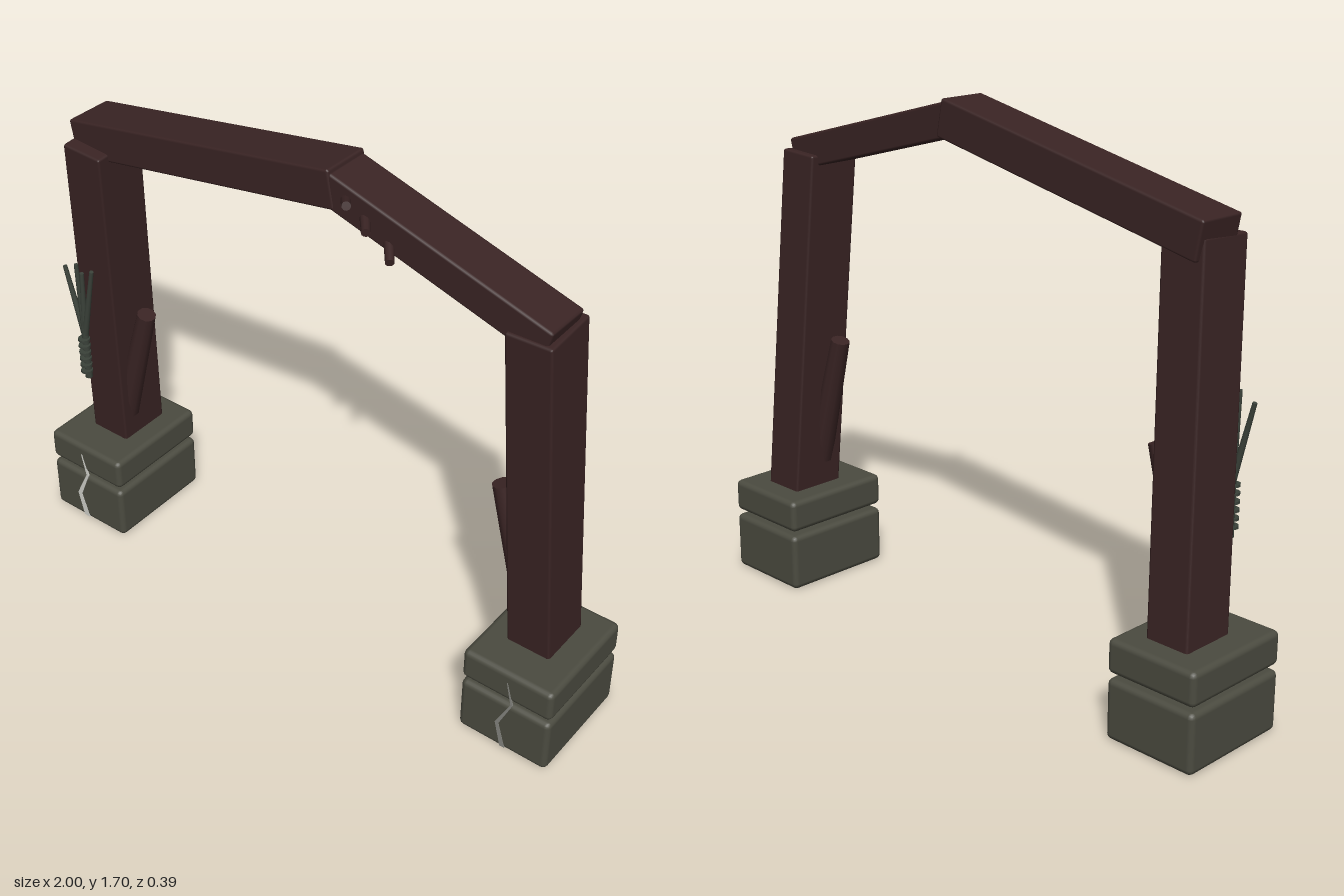
import * as THREE from 'three';
import { RoundedBoxGeometry } from 'three/addons/geometries/RoundedBoxGeometry.js';

const mat = (name, color) => Object.assign(new THREE.MeshStandardMaterial({ color }), { name });

export function createModel() {
  const wood = mat('dark wood', 0x3a2424);
  const stone = mat('mossy stone', 0x4b4b40);
  const twig = mat('grey green twig', 0x3b423a);
  const pale = mat('pale crack', 0xd0d0ca);
  const grey = mat('grey crack', 0x85857f);
  const model = new THREE.Group();
  model.name = 'gateArch';

  function add(name, geometry, material, parent = model) {
    const mesh = new THREE.Mesh(geometry, material);
    mesh.name = name;
    parent.add(mesh);
    return mesh;
  }

  // Places a geometry that runs along y between two points, keeping its z side level
  function span(mesh, from, to) {
    const a = new THREE.Vector3(...from), b = new THREE.Vector3(...to);
    const y = b.clone().sub(a).normalize();
    const x = y.clone().cross(new THREE.Vector3(0, 0, 1)).normalize();
    const z = x.clone().cross(y);
    mesh.quaternion.setFromRotationMatrix(new THREE.Matrix4().makeBasis(x, y, z));
    mesh.position.copy(a).add(b).multiplyScalar(0.5);
    return mesh;
  }
  const dist = (a, b) => new THREE.Vector3(...a).distanceTo(new THREE.Vector3(...b));
  const timber = (name, a, b, w, d) =>
    span(add(name, new RoundedBoxGeometry(w, dist(a, b), d, 1, 0.008), wood), a, b);
  const rod = (name, a, b, r0, r1, material, parent) =>
    span(add(name, new THREE.CylinderGeometry(r1, r0, dist(a, b), 10), material, parent), a, b);

  // Tapered zigzag crack on the front of a plinth
  function crack(x, material, scale) {
    const path = [[-0.015, 0.28, 0.002], [0.005, 0.2, 0.005], [-0.04, 0.1, 0.009], [-0.015, 0.01, 0.012]];
    const left = path.map(([px, y, w]) => new THREE.Vector2(px - w * scale, y));
    const right = path.map(([px, y, w]) => new THREE.Vector2(px + w * scale, y)).reverse();
    const geometry = new THREE.ExtrudeGeometry(new THREE.Shape([...left, ...right]), { depth: 0.005, bevelEnabled: false });
    add('plinthCrack', geometry, material).position.set(x, 0, 0.189);
  }

  for (const s of [-1, 1]) {
    const side = s > 0 ? 'left' : 'right';
    // Two stacked stones with a gap between them
    add(side + 'LowerStone', new RoundedBoxGeometry(0.31, 0.19, 0.385, 2, 0.018), stone).position.set(s * 0.845, 0.098, 0);
    add(side + 'UpperStone', new RoundedBoxGeometry(0.31, 0.107, 0.385, 2, 0.018), stone).position.set(s * 0.845, 0.263, 0);
    // Leaning post, side stub and peg
    timber(side + 'Post', [s * 0.841, 0.24, -0.026], [s * 0.788, 1.45, 0.047], 0.147, 0.185);
    rod(side + 'BranchStub', [s * 0.80, 0.4, 0.02], [s * 0.678, 0.838, 0.02], 0.042, 0.031, wood);
    rod(side + 'Peg', [s * 0.825, 1.15, 0.115], [s * 0.825, 1.15, 0.193], 0.021, 0.018, wood);
  }
  crack(-0.845, pale, 1);
  crack(0.865, grey, 0.7);

  // Bent lintel made of two beams
  timber('longBeam', [-0.86, 1.45, 0.015], [0.142, 1.645, 0.045], 0.12, 0.16);
  timber('shortBeam', [0.115, 1.642, 0.045], [0.842, 1.438, 0.055], 0.105, 0.152);

  // Fanned pegs on the short beam
  const pegs = [[0.18, 1.628, 0.022], [0.245, 1.597, -0.005], [0.325, 1.55, -0.02]];
  for (const [x, y, rise] of pegs) {
    rod('beamPeg', [x, y, 0.11], [x + 0.045, y + rise, 0.167], 0.015, 0.013, wood);
  }

  // Forked twig with a ringed stem
  const charm = new THREE.Group();
  charm.name = 'forkedTwig';
  model.add(charm);
  rod('twigStem', [-0.855, 0.575, 0.128], [-0.855, 0.77, 0.128], 0.012, 0.012, twig, charm);
  for (const [x, y] of [[-0.918, 0.985], [-0.867, 1.01], [-0.845, 0.985], [-0.8, 1.008]]) {
    rod('twigProng', [-0.855, 0.74, 0.128], [x, y, 0.128], 0.011, 0.007, twig, charm);
  }
  for (let i = 0; i < 6; i++) {
    const y = 0.605 + i * 0.025;
    rod('twigRing', [-0.855, y - 0.004, 0.135], [-0.855, y + 0.004, 0.135], 0.02, 0.02, twig, charm);
  }
  return model;
}
